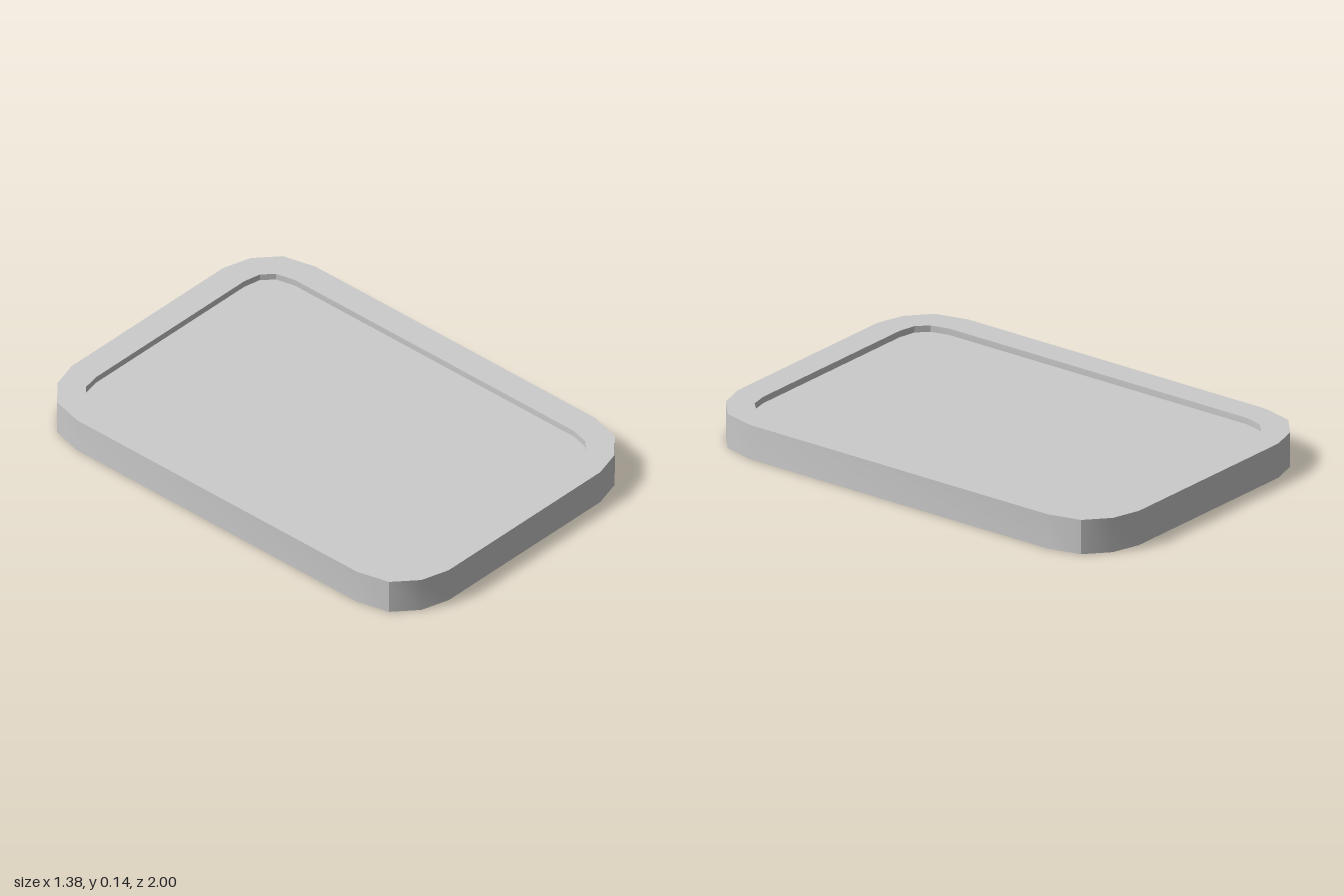
import * as THREE from 'three';
import { toCreasedNormals } from 'three/addons/utils/BufferGeometryUtils.js';

const HEIGHT = 0.145;
const FLOOR = 0.118;

// One corner of each outline as [x, z]; the other three are mirrored
const OUTER = [[0.69, 0.74], [0.655, 0.88], [0.56, 0.965], [0.44, 1]];
const INNER = [[0.57, 0.74], [0.55, 0.82], [0.505, 0.865], [0.43, 0.88]];
const CENTRE = OUTER.map(() => [0, 0]);

// Closed ring at height y from a mirrored corner
function ring(corner, y) {
  const points = [];
  for (const [sx, sz] of [[1, 1], [-1, 1], [-1, -1], [1, -1]]) {
    const ordered = sx * sz > 0 ? corner : [...corner].reverse();
    for (const [x, z] of ordered) points.push([sx * x, y, sz * z]);
  }
  return points;
}

// Skin between successive rings; centre rings close into fans
function skin(rings) {
  const positions = [];
  for (let i = 0; i < rings.length - 1; i++) {
    const lower = rings[i], upper = rings[i + 1], n = lower.length;
    for (let k = 0; k < n; k++) {
      const a = lower[k], b = lower[(k + 1) % n];
      const c = upper[(k + 1) % n], d = upper[k];
      if (c[0] !== d[0] || c[2] !== d[2]) positions.push(...a, ...d, ...c);
      if (a[0] !== b[0] || a[2] !== b[2]) positions.push(...a, ...c, ...b);
    }
  }
  const geometry = new THREE.BufferGeometry();
  geometry.setAttribute('position', new THREE.Float32BufferAttribute(positions, 3));
  return toCreasedNormals(geometry, 0.5);
}

export function createModel() {
  const group = new THREE.Group();
  group.name = 'tray';
  const material = new THREE.MeshStandardMaterial({ color: 0xcccccc });
  const add = (name, rings) => {
    const mesh = new THREE.Mesh(skin(rings), material);
    mesh.name = name;
    group.add(mesh);
  };

  // Underside, outer wall, flat rim and the short step down inside
  add('body', [
    ring(CENTRE, 0), ring(OUTER, 0), ring(OUTER, HEIGHT),
    ring(INNER, HEIGHT), ring(INNER, FLOOR),
  ]);

  // Recessed floor
  add('floorPanel', [ring(INNER, FLOOR), ring(CENTRE, FLOOR)]);

  return group;
}
